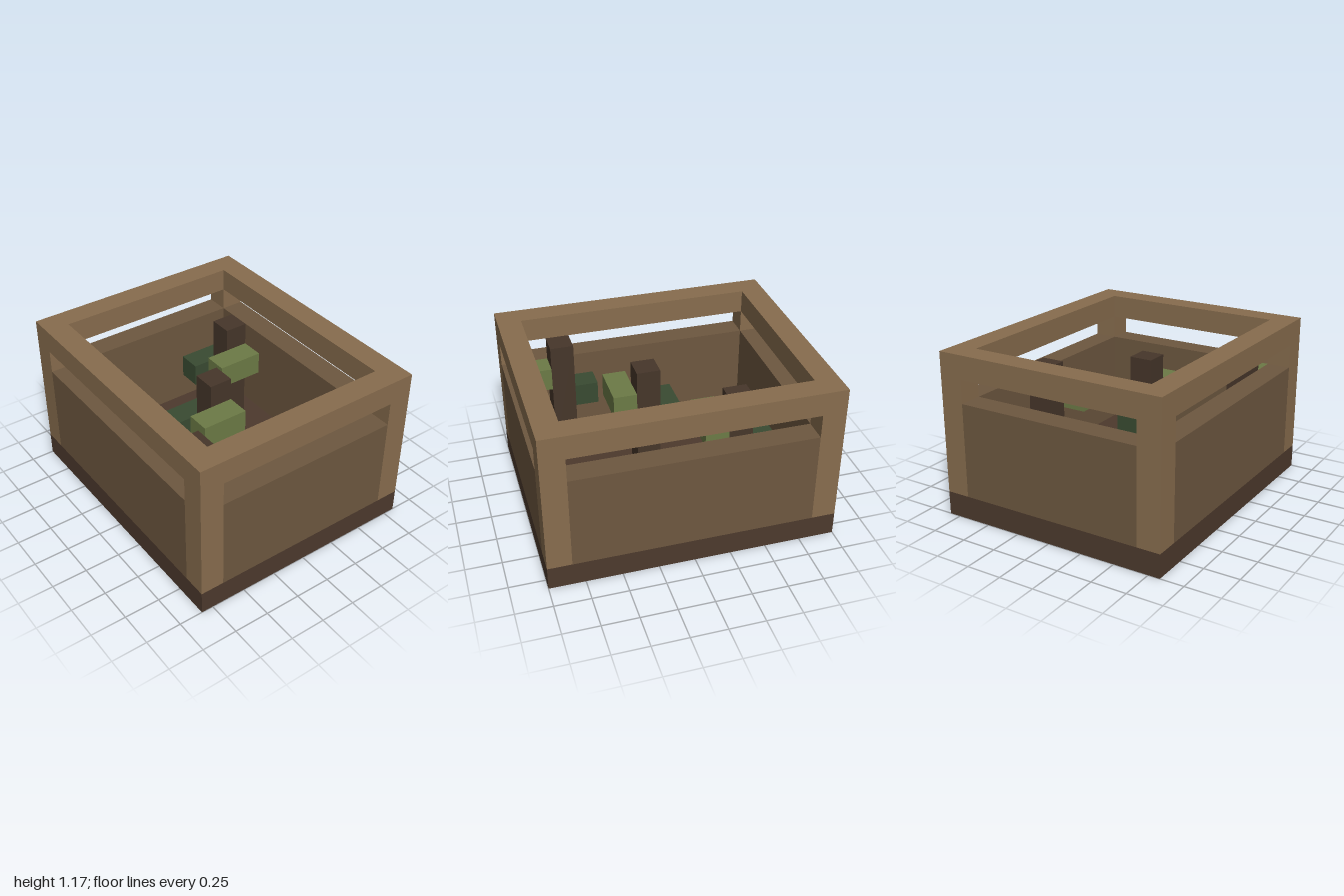
import * as THREE from 'three';

const U = 1 / 6; // one block

const mats = {};
for (const [k, c] of Object.entries({
  base: 0x4d3a2d, wall: 0x6e5840, frame: 0x886d4e,
  stem: 0x46362a, darkLeaf: 0x394b32, lightLeaf: 0x6c7b46,
})) mats[k] = new THREE.MeshStandardMaterial({ color: c });

// Box between two corners, given in blocks
function block(parent, name, mat, [x0, y0, z0], [x1, y1, z1]) {
  const g = new THREE.BoxGeometry((x1 - x0) * U, (y1 - y0) * U, (z1 - z0) * U);
  const mesh = new THREE.Mesh(g, mats[mat]);
  mesh.name = name;
  mesh.position.set((x0 + x1) / 2 * U, (y0 + y1) / 2 * U, (z0 + z1) / 2 * U);
  parent.add(mesh);
}

export function createModel() {
  const model = new THREE.Group();
  model.name = 'planterBox';

  block(model, 'base', 'base', [-6, 0, -5], [6, 1, 5]);

  // Walls and top rails, front/back and left/right
  for (const s of [-1, 1]) {
    const zs = s > 0 ? [4, 5] : [-5, -4];
    const xs = s > 0 ? [5, 6] : [-6, -5];
    const fb = s > 0 ? 'front' : 'back';
    const lr = s > 0 ? 'left' : 'right';
    block(model, fb + 'Wall', 'wall', [-5, 1, zs[0]], [5, 5, zs[1]]);
    block(model, lr + 'Wall', 'wall', [xs[0], 1, -4], [xs[1], 5, 4]);
    block(model, fb + 'Rail', 'frame', [-6, 6, zs[0]], [6, 7, zs[1]]);
    block(model, lr + 'Rail', 'frame', [xs[0], 6, -4], [xs[1], 7, 4]);
    // Corner posts on this side
    for (const z of [-5, 4])
      block(model, 'cornerPost', 'frame', [xs[0], 1, z], [xs[1], 6, z + 1]);
  }

  // Three plants on a diagonal; the last one is cut short by the front wall
  for (const p of [-3, 0, 3]) {
    const plant = new THREE.Group();
    plant.name = 'plant';
    const zEnd = Math.min(p + 2, 4);
    block(plant, 'stem', 'stem', [p, 1, p], [p + 1, 6, p + 1]);
    block(plant, 'lowerLeaf', 'darkLeaf', [p - 1, 3, p], [p, 4, zEnd]);
    block(plant, 'upperLeaf', 'lightLeaf', [p + 1, 4, p], [p + 2, 5, zEnd]);
    model.add(plant);
  }
  return model;
}
